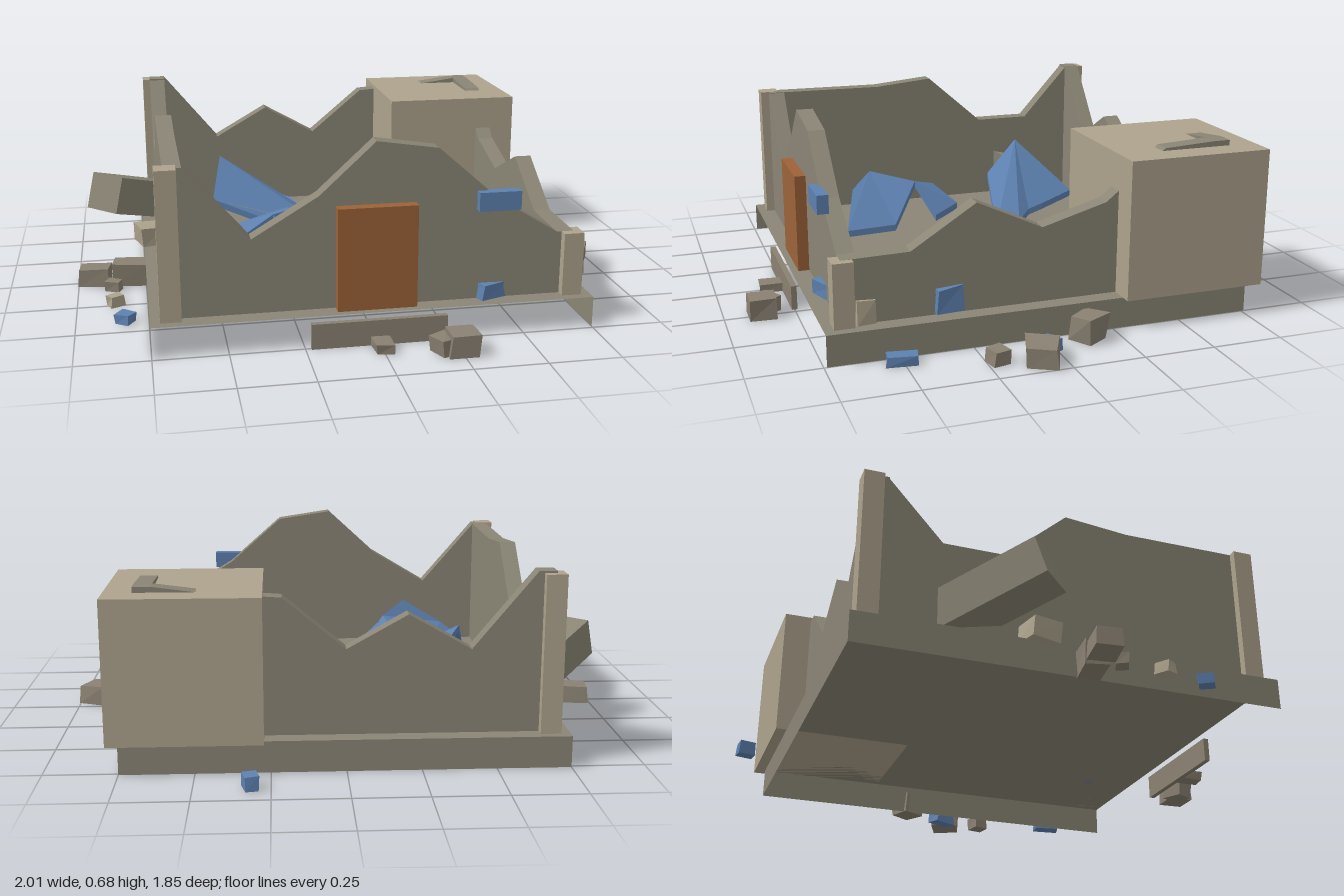
import * as THREE from 'three';

export function createModel() {
  const root = new THREE.Group();
  const mat = (name, color) => {
    const m = new THREE.MeshStandardMaterial({ color });
    m.name = name;
    return m;
  };
  const stone = mat('grey stone', 0x8a8575);
  const tan = mat('pale stone', 0xada38d);
  const rubbleMat = mat('rubble brown', 0x8a8172);
  const wood = mat('door orange', 0x9c6238);
  const blue = mat('roof blue', 0x5d81b0);
  const sheet = mat('foundation stone', 0x8a8575);
  sheet.side = THREE.DoubleSide;

  const add = (name, geo, material, x = 0, y = 0, z = 0, parent = root) => {
    const m = new THREE.Mesh(geo, material);
    m.name = name;
    m.position.set(x, y, z);
    parent.add(m);
    return m;
  };
  // Box given by its minimum and maximum corners
  const box = (name, material, a, b) => add(name,
    new THREE.BoxGeometry(b[0] - a[0], b[1] - a[1], b[2] - a[2]), material,
    (a[0] + b[0]) / 2, (a[1] + b[1]) / 2, (a[2] + b[2]) / 2);

  // Foundation: an open shell with a top and three skirts
  const G = 0.108;
  add('foundationTop', new THREE.PlaneGeometry(1.5, 1.5), sheet, 0, G, -0.01).rotation.x = -Math.PI / 2;
  add('foundationBack', new THREE.PlaneGeometry(1.5, G), sheet, 0, G / 2, -0.76).rotation.y = Math.PI;
  for (const s of [-1, 1]) {
    add('foundationSide', new THREE.PlaneGeometry(1.5, G), sheet, s * 0.75, G / 2, -0.01).rotation.y = s * Math.PI / 2;
  }
  box('doorStep', rubbleMat, [-0.23, 0, 0.74], [0.23, 0.088, 0.76]);

  // Broken walls: a jagged top profile, extruded to the wall thickness
  const T = 0.06;
  const wall = (name, profile) => {
    const s = new THREE.Shape();
    s.moveTo(profile[0][0], G);
    for (const [u, y] of profile) s.lineTo(u, y);
    s.lineTo(profile[profile.length - 1][0], G);
    return add(name, new THREE.ExtrudeGeometry(s, { depth: T, bevelEnabled: false }), stone);
  };
  wall('frontWall', [[-0.69, 0.615], [-0.63, 0.615], [-0.415, 0.365], [-0.19, 0.5], [0, 0.675],
    [0.21, 0.643], [0.42, 0.458], [0.63, 0.33], [0.69, 0.33]]).position.z = 0.615;
  wall('backWall', [[-0.69, 0.655], [-0.63, 0.655], [-0.415, 0.395], [-0.205, 0.515], [0, 0.4],
    [0.21, 0.575], [0.48, 0.595], [0.63, 0.615], [0.69, 0.615]]).position.z = -0.70;
  const left = wall('leftWall', [[-0.70, 0.655], [-0.645, 0.655], [-0.45, 0.44], [-0.235, 0.44],
    [-0.01, 0.637], [0.22, 0.615], [0.675, 0.617]]);
  const right = wall('rightWall', [[-0.70, 0.615], [-0.64, 0.615], [-0.455, 0.605], [-0.24, 0.435],
    [-0.01, 0.37], [0.22, 0.478], [0.445, 0.335], [0.675, 0.33]]);
  left.position.x = -0.63;
  right.position.x = 0.69;
  left.rotation.y = right.rotation.y = -Math.PI / 2;

  // Corner posts and the block tower
  const posts = [[-0.683, 0.672, 0.618], [0.683, 0.672, 0.33], [-0.683, -0.697, 0.648]];
  for (const [x, z, top] of posts) {
    box('cornerPost', tan, [x - 0.035, G, z - 0.035], [x + 0.035, top, z + 0.035]);
  }
  box('cornerTower', tan, [0.272, G, -0.80], [0.786, 0.596, -0.285]);

  // Door and window
  box('door', wood, [-0.135, G, 0.66], [0.135, 0.463, 0.715]);
  box('window', blue, [0.345, 0.425, 0.665], [0.49, 0.49, 0.705]);

  // Fallen beam leaning over the left wall
  const beam = add('fallenBeam', new THREE.BoxGeometry(0.43, 0.14, 0.155), stone, -0.745, 0.245, -0.3);
  beam.rotation.set(0, Math.PI / 4, -0.3, 'YXZ');

  // Roof shards: an outline with heights, thickened downwards
  const shard = (pts, t = 0.025) => {
    const tris = THREE.ShapeUtils.triangulateShape(pts.map(p => new THREE.Vector2(p[0], -p[2])), []);
    const cw = THREE.ShapeUtils.isClockWise(pts.map(p => new THREE.Vector2(p[0], -p[2])));
    const low = pts.map(p => [p[0], p[1] - t, p[2]]);
    const v = [];
    const tri = (a, b, c) => (cw ? v.push(...a, ...c, ...b) : v.push(...a, ...b, ...c));
    for (const [a, b, c] of tris) {
      const up = (pts[b][0] - pts[a][0]) * (pts[a][2] - pts[c][2])
        - (pts[a][2] - pts[b][2]) * (pts[c][0] - pts[a][0]) > 0;
      const [q, r] = up !== cw ? [b, c] : [c, b];
      tri(pts[a], pts[q], pts[r]);
      tri(low[a], low[r], low[q]);
    }
    pts.forEach((p, i) => {
      const j = (i + 1) % pts.length;
      tri(p, low[i], low[j]);
      tri(p, low[j], pts[j]);
    });
    const g = new THREE.BufferGeometry();
    g.setAttribute('position', new THREE.Float32BufferAttribute(v, 3));
    g.computeVertexNormals();
    add('roofShard', g, blue);
  };
  // back-left shard, folded along a ridge
  shard([[-0.43, 0.39, -0.33], [-0.24, 0.2, -0.51], [-0.13, 0.19, -0.34], [-0.13, 0.17, -0.28],
    [-0.05, 0.15, -0.21], [-0.04, 0.14, -0.11]]);
  shard([[-0.43, 0.39, -0.33], [-0.04, 0.14, -0.11], [-0.11, 0.14, -0.17], [-0.21, 0.14, -0.16], [-0.47, 0.24, -0.22]]);
  // shard beside the tower
  shard([[0.19, 0.2, -0.45], [0.29, 0.2, -0.43], [0.29, 0.18, -0.33], [0.2, 0.16, -0.24],
    [0.25, 0.14, -0.13], [0.16, 0.14, -0.09], [0.13, 0.16, -0.19]]);
  shard([[0.22, 0.17, -0.25], [0.32, 0.18, -0.29], [0.44, 0.18, -0.29], [0.33, 0.15, -0.19], [0.25, 0.14, -0.13],
    [0.24, 0.14, -0.19], [0.33, 0.16, -0.25]]);
  // front-left shard, folded along a ridge
  shard([[-0.53, 0.2, 0.25], [-0.41, 0.25, 0.14], [-0.22, 0.29, 0.1], [-0.2, 0.31, 0.18],
    [-0.3, 0.34, 0.34], [-0.46, 0.24, 0.36]]);
  shard([[-0.22, 0.29, 0.1], [-0.15, 0.22, 0.02], [-0.11, 0.19, 0.12], [-0.2, 0.31, 0.18]]);
  shard([[-0.2, 0.31, 0.18], [-0.13, 0.16, 0.28], [-0.14, 0.15, 0.47], [-0.26, 0.28, 0.42], [-0.3, 0.34, 0.34]]);

  // Rubble: boxes with their corners nudged by a seeded rule
  let seed = 7;
  const rand = () => (seed = (seed * 16807) % 2147483647) / 2147483647;
  const rock = (material, x, z, w, h, d, turn = 0, y0 = 0) => {
    const g = new THREE.BoxGeometry(w, h, d).toNonIndexed();
    const p = g.attributes.position;
    const nudge = Array.from({ length: 8 }, () => [rand(), rand(), rand()].map(r => 1 - 0.25 * r));
    for (let i = 0; i < p.count; i++) {
      const bottom = p.getY(i) < 0;
      const n = nudge[(p.getX(i) > 0) * 4 + !bottom * 2 + (p.getZ(i) > 0)];
      p.setXYZ(i, p.getX(i) * n[0], p.getY(i) * (bottom ? 1 : n[1]), p.getZ(i) * n[2]);
    }
    g.computeVertexNormals();
    add('rubble', g, material, x, y0 + h / 2, z).rotation.y = turn;
  };
  rock(rubbleMat, -0.935, 0, 0.13, 0.07, 0.10, -0.15);
  rock(rubbleMat, -0.805, 0.02, 0.14, 0.09, 0.1, -0.15);
  rock(rubbleMat, -0.87, 0.09, 0.06, 0.04, 0.05, -0.4);
  rock(tan, -0.865, 0.245, 0.06, 0.04, 0.05, 0.5);
  rock(blue, -0.83, 0.41, 0.06, 0.035, 0.06, -0.6);
  rock(rubbleMat, 0, 0.8, 0.07, 0.035, 0.09, 0.05);
  rock(rubbleMat, 0.2, 0.85, 0.1, 0.06, 0.09, 0.4);
  rock(rubbleMat, 0.25, 0.865, 0.11, 0.08, 0.11, -0.05);
  rock(rubbleMat, 0.805, -0.135, 0.1, 0.095, 0.11, 0.5);
  rock(blue, 0.865, 0.045, 0.06, 0.05, 0.12, 0.5);
  rock(rubbleMat, 0.93, 0.08, 0.13, 0.075, 0.12, -0.4);
  rock(rubbleMat, 0.885, 0.215, 0.075, 0.055, 0.07, 0.3);
  rock(blue, 0.795, 0.505, 0.065, 0.035, 0.12, -0.15);
  rock(blue, 0.315, -0.9, 0.055, 0.05, 0.065, 0.15);
  rock(blue, 0.66, 0.32, 0.11, 0.09, 0.11, 0.15, 0.115);
  rock(blue, 0.4, 0.625, 0.15, 0.06, 0.14, 0.4, G);
  rock(tan, 0.635, 0.605, 0.16, 0.09, 0.075, 0.15, G);
  rock(tan, -0.73, -0.13, 0.1, 0.075, 0.12, 0.3, G);
  return root;
}
